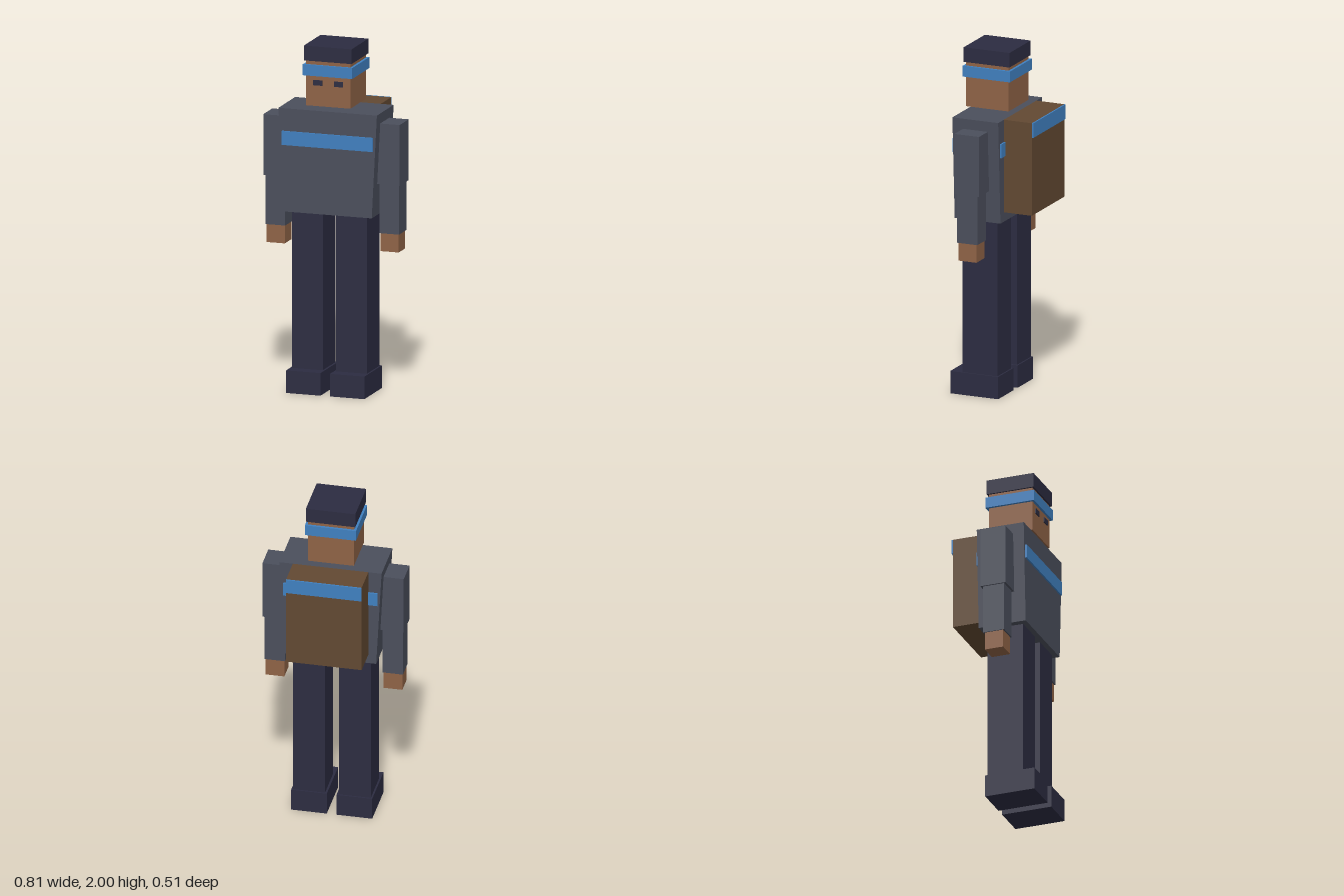
import * as THREE from 'three';

function material(name, color) {
  const m = new THREE.MeshStandardMaterial({ color });
  m.name = name;
  return m;
}

export function createModel() {
  const model = new THREE.Group();
  model.name = 'blockFigure';
  const grey = material('jacketGrey', 0x4b4f5c);
  const navy = material('darkNavy', 0x2c2c41);
  const skin = material('skin', 0x8f6346);
  const blue = material('trimBlue', 0x4080c0);
  const brown = material('packBrown', 0x624932);

  // Adds a box given its lowest and highest extent on each axis
  function block(name, mat, [x0, x1], [y0, y1], [z0, z1]) {
    const mesh = new THREE.Mesh(new THREE.BoxGeometry(x1 - x0, y1 - y0, z1 - z0), mat);
    mesh.position.set((x0 + x1) / 2, (y0 + y1) / 2, (z0 + z1) / 2);
    mesh.name = name;
    model.add(mesh);
    return mesh;
  }

  // Adds the same box on the left (+x) and the right (-x)
  function pair(name, mat, [x0, x1], y, z) {
    block('left' + name, mat, [x0, x1], y, z);
    block('right' + name, mat, [-x1, -x0], y, z);
  }

  // Legs and boots
  pair('Boot', navy, [0.028, 0.233], [0, 0.13], [-0.044, 0.252]);
  pair('Leg', navy, [0.04, 0.223], [0.13, 1.035], [-0.035, 0.18]);

  // Torso, narrowing towards the waist
  const torso = block('torso', grey, [-0.293, 0.293], [1.035, 1.63], [-0.072, 0.211]);
  const p = torso.geometry.attributes.position;
  for (let i = 0; i < p.count; i++) {
    if (p.getY(i) < 0) p.setX(i, p.getX(i) * 0.895);
  }
  torso.geometry.computeVertexNormals();

  // Chest stripe, showing on the front and the back
  block('chestStripe', blue, [-0.271, 0.271], [1.42, 1.5], [-0.082, 0.221]);

  // Arms and hands
  pair('UpperArm', grey, [0.272, 0.406], [1.22, 1.57], [-0.006, 0.146]);
  pair('Forearm', grey, [0.28, 0.398], [0.935, 1.22], [0.008, 0.134]);
  pair('Hand', skin, [0.285, 0.393], [0.83, 0.935], [0.016, 0.126]);

  // Head, eyes, headband and cap
  block('head', skin, [-0.132, 0.132], [1.655, 1.917], [-0.062, 0.201]);
  pair('Eye', navy, [0.035, 0.089], [1.775, 1.805], [0.199, 0.207]);
  block('headband', blue, [-0.147, 0.147], [1.83, 1.893], [-0.077, 0.215]);
  block('cap', navy, [-0.142, 0.142], [1.915, 2], [-0.072, 0.211]);

  // Backpack with its trim along the top of the back
  block('backpack', brown, [-0.217, 0.217], [1.09, 1.63], [-0.245, -0.068]);
  block('backpackTrim', blue, [-0.217, 0.217], [1.545, 1.63], [-0.254, -0.245]);

  return model;
}
